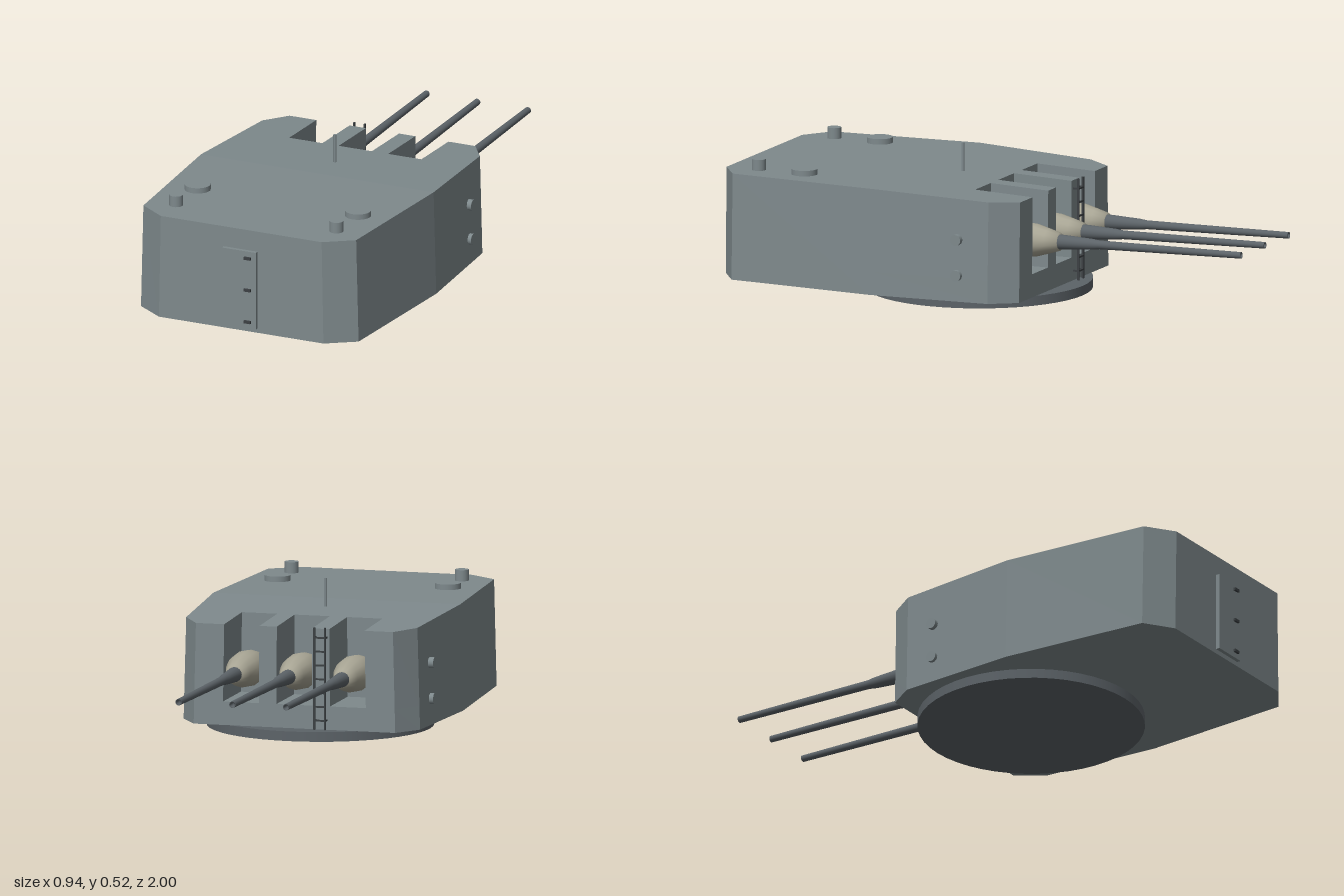
import * as THREE from 'three';

const paint = (color) => new THREE.MeshStandardMaterial({ color });
const hullMat = paint(0x7e898c);
const steelMat = paint(0x5c6368);
const darkMat = paint(0x3c4043);
const coverMat = paint(0xa8a594);

const BOTTOM = 0.035, TOP = 0.42, FLOOR = 0.12, BEND = 0.34;
const gunXs = [-0.2, 0, 0.2];

export function createModel() {
  const model = new THREE.Group();

  const add = (name, geometry, material, x = 0, y = 0, z = 0) => {
    const mesh = new THREE.Mesh(geometry, material);
    mesh.name = name;
    mesh.position.set(x, y, z);
    model.add(mesh);
    return mesh;
  };
  const box = (name, w, h, d, mat, x, y, z) => add(name, new THREE.BoxGeometry(w, h, d), mat, x, y, z);
  const cylinder = (name, r, h, mat, x, y, z, sides = 24) =>
    add(name, new THREE.CylinderGeometry(r, r, h, sides), mat, x, y, z);

  // Armoured house: plan outlines raised, tapered inward, roof sloping down toward the guns
  const roofY = (z) => TOP - 0.02 * Math.max(0, (BEND - z) / 0.54);
  const block = (name, plan, y0, y1) => {
    const shape = new THREE.Shape(plan.map(([x, z]) => new THREE.Vector2(x, -z)));
    const geo = new THREE.ExtrudeGeometry(shape, { depth: y1 - y0, bevelEnabled: false });
    geo.rotateX(-Math.PI / 2).translate(0, y0, 0);
    const p = geo.attributes.position;
    for (let i = 0; i < p.count; i++) {
      const y = p.getY(i);
      p.setX(i, p.getX(i) * (1 - 0.022 * (y - BOTTOM) / (TOP - BOTTOM)));
      if (y > TOP - 0.001) p.setY(i, roofY(p.getZ(i)));
    }
    geo.computeVertexNormals();
    add(name, geo, hullMat);
  };
  const mirrored = (half) => [...half, ...half.map(([x, z]) => [-x, z]).reverse()];

  const rearPlan = mirrored([[0.47, BEND], [0.43, 0.905], [0.325, 0.977]]);
  const frontPlan = mirrored([[0.47, BEND], [0.44, -0.11], [0.375, -0.205]]);
  // The same front outline with three gun slots cut into its leading edge
  const slots = [...gunXs].reverse().flatMap((x) =>
    [[x + 0.067, -0.205], [x + 0.067, 0.022], [x - 0.067, 0.022], [x - 0.067, -0.205]]);
  const slottedPlan = [...frontPlan.slice(0, 3), ...slots, ...frontPlan.slice(3)];
  block('rearHouse', rearPlan, BOTTOM, TOP);
  block('frontHouseBase', frontPlan, BOTTOM, FLOOR);
  block('slottedFrontHouse', slottedPlan, FLOOR, TOP);

  // Rotating base ring
  cylinder('baseRing', 0.407, BOTTOM, steelMat, 0, BOTTOM / 2, 0.128, 48);

  // Guns: bulged cover and stepped barrel turned around the bore axis
  const turned = (profile, sides) => new THREE.LatheGeometry(
    profile.map(([r, d]) => new THREE.Vector2(r, d)), sides).rotateX(-Math.PI / 2);
  const coverGeo = turned([[0, 0.02], [0.045, 0.02], [0.06, 0.07], [0.066, 0.125],
    [0.06, 0.19], [0.046, 0.24], [0.033, 0.284], [0, 0.284]], 14);
  const barrelGeo = turned([[0, 0.24], [0.028, 0.24], [0.027, 0.29], [0.02, 0.41], [0.016, 0.44],
    [0.012, 1], [0.012, 1], [0.008, 1], [0.008, 0.97], [0, 0.97]], 16);
  for (const x of gunXs) {
    const gun = new THREE.Group();
    gun.name = 'gun';
    gun.position.set(x, 0.228, 0);
    gun.rotation.x = 0.017;
    const cover = new THREE.Mesh(coverGeo, coverMat);
    cover.name = 'gunCover';
    const barrel = new THREE.Mesh(barrelGeo, steelMat);
    barrel.name = 'barrel';
    gun.add(cover, barrel);
    model.add(gun);
  }

  // Roof fittings and side bolts on both sides
  for (const s of [-1, 1]) {
    cylinder('roofHatch', 0.047, 0.03, hullMat, s * 0.317, 0.425, 0.67);
    cylinder('roofVent', 0.025, 0.05, hullMat, s * 0.317, 0.435, 0.85, 16);
    for (const y of [0.13, 0.26])
      cylinder('sideBolt', 0.02, 0.04, hullMat, s * 0.44, y, 0.008, 16).rotation.z = Math.PI / 2;
  }
  cylinder('mast', 0.006, 0.11, hullMat, 0, 0.463, 0.193, 10);

  // Rear door with hinges
  box('rearDoor', 0.134, 0.292, 0.02, hullMat, -0.002, 0.198, 0.982);
  for (const y of [0.077, 0.198, 0.319]) box('doorHinge', 0.026, 0.01, 0.02, darkMat, 0.033, y, 0.99);

  // Ladder on the pillar between two guns
  for (const s of [-1, 1]) {
    box('ladderRail', 0.006, 0.37, 0.008, darkMat, -0.1 + s * 0.02, 0.222, -0.225);
    for (const y of [0.07, 0.37]) box('ladderBracket', 0.006, 0.006, 0.025, darkMat, -0.1 + s * 0.02, y, -0.213);
  }
  for (let i = 0; i < 7; i++) box('ladderRung', 0.04, 0.006, 0.006, darkMat, -0.1, 0.07 + i * 0.05, -0.225);

  return model;
}
